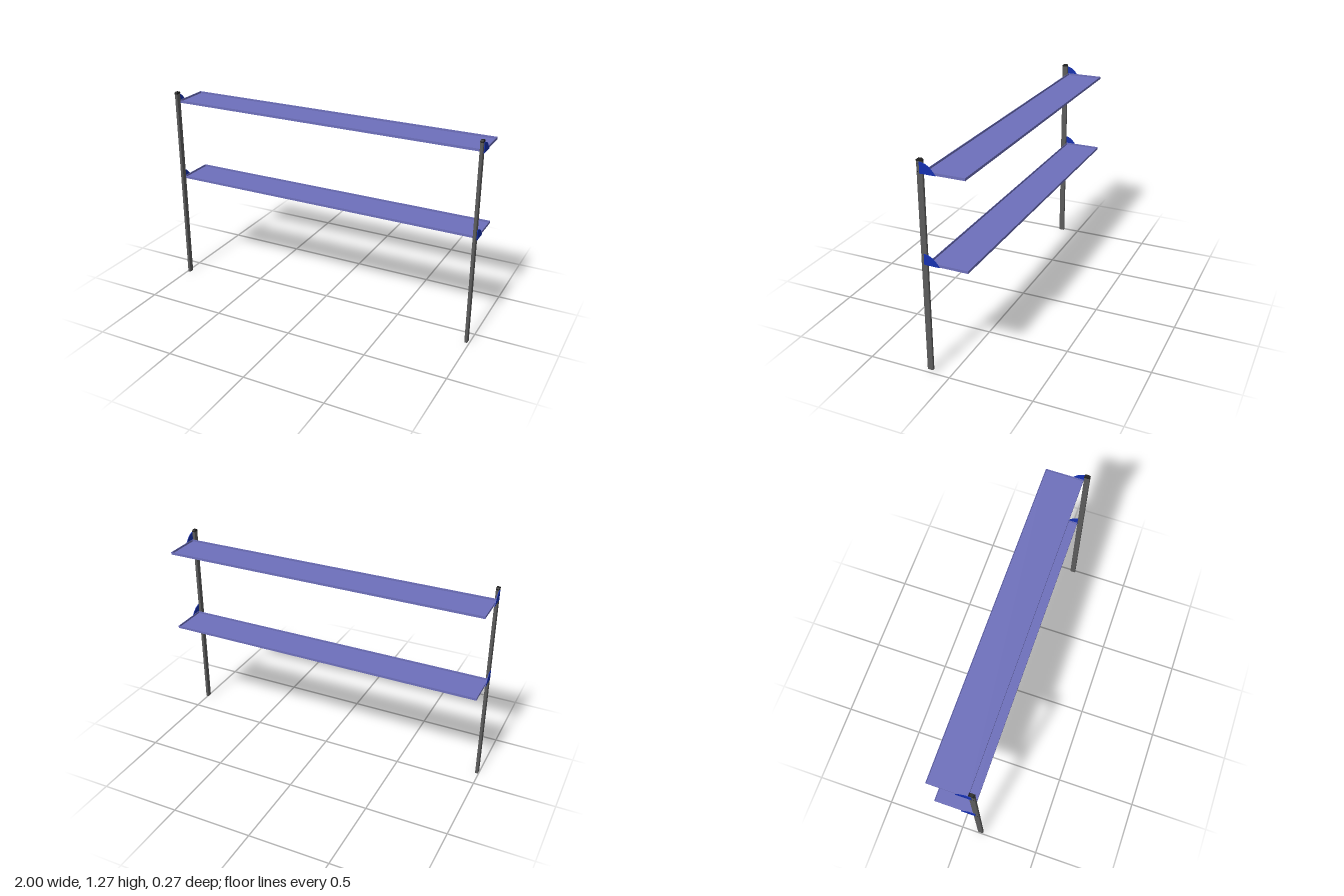
import * as THREE from 'three';

export function createModel() {
  const model = new THREE.Group();
  const mat = (color) => new THREE.MeshStandardMaterial({ color, flatShading: true });
  const postMat = mat(0x5c5c5c), capMat = mat(0x222222);
  const shelfMat = mat(0x6e70bc), bracketMat = mat(0x1530b0);

  function add(name, geometry, material, x, y, z, parent = model) {
    const mesh = new THREE.Mesh(geometry, material);
    mesh.name = name;
    mesh.position.set(x, y, z);
    parent.add(mesh);
    return mesh;
  }
  const box = (w, h, d) => new THREE.BoxGeometry(w, h, d);

  // Upright section: rectangle with clipped corners, extruded upward
  function postGeometry(height) {
    const w = 0.009, d = 0.0175, c = 0.003;
    const section = new THREE.Shape([
      [-w + c, -d], [w - c, -d], [w, -d + c], [w, d - c],
      [w - c, d], [-w + c, d], [-w, d - c], [-w, -d + c],
    ].map(([x, y]) => new THREE.Vector2(x, y)));
    const g = new THREE.ExtrudeGeometry(section, { depth: height, bevelEnabled: false });
    return g.rotateX(-Math.PI / 2);
  }

  // Cap with sloping front and back edges
  const capShape = new THREE.Shape([
    [-0.0175, 0], [0.0175, 0], [0.0175, 0.007], [0.01, 0.013], [-0.01, 0.013], [-0.0175, 0.007],
  ].map(([x, y]) => new THREE.Vector2(x, y)));
  const capGeometry = new THREE.ExtrudeGeometry(capShape, { depth: 0.018, bevelEnabled: false })
    .translate(0, 0, -0.009).rotateY(Math.PI / 2);

  // Curved side plate of a bracket, drawn from its front edge backward
  const plate = new THREE.Shape();
  plate.moveTo(0, 0);
  plate.lineTo(0.091, 0);
  plate.bezierCurveTo(0.07, 0.025, 0.05, 0.061, 0, 0.062);
  plate.closePath();
  const plateGeometry = new THREE.ExtrudeGeometry(plate, { depth: 0.004, bevelEnabled: false, curveSegments: 12 })
    .translate(0, 0, -0.002).rotateY(Math.PI / 2);

  const shelfHeights = [0.678, 1.19];

  // Uprights, caps, brackets and screws on both sides
  for (const side of [-1, 1]) {
    const x = side * 0.987, z = 0.1205;
    const foot = side > 0 ? 0.018 : 0;
    add('post', postGeometry(1.254 - foot), postMat, x, foot, z);
    add('postCap', capGeometry, capMat, x, 1.254, z);
    for (const y of shelfHeights) {
      add('bracketPlate', plateGeometry, bracketMat, side * 0.998, y, 0.119);
      for (const dy of [0.008, 0.052]) {
        const screw = add('screw', new THREE.CylinderGeometry(0.002, 0.002, 0.002, 8), capMat,
          side * 0.9965, y + dy, 0.13);
        screw.rotation.z = Math.PI / 2;
      }
    }
  }

  // Shallow tray shelves with thin upturned rims
  const front = 0.099, back = -0.135, half = 0.995, rim = 0.015, t = 0.003;
  const depth = front - back, mid = (front + back) / 2;
  for (const y of shelfHeights) {
    const shelf = new THREE.Group();
    shelf.name = 'shelf';
    shelf.position.y = y;
    model.add(shelf);
    add('shelfFloor', box(half * 2, t, depth), shelfMat, 0, t / 2, mid, shelf);
    for (const s of [-1, 1]) {
      add('longRim', box(half * 2, rim - t, t), shelfMat, 0, (rim + t) / 2, mid + s * (depth - t) / 2, shelf);
      add('endRim', box(t, rim - t, depth - 2 * t), shelfMat, s * (half - t / 2), (rim + t) / 2, mid, shelf);
    }
  }
  return model;
}
